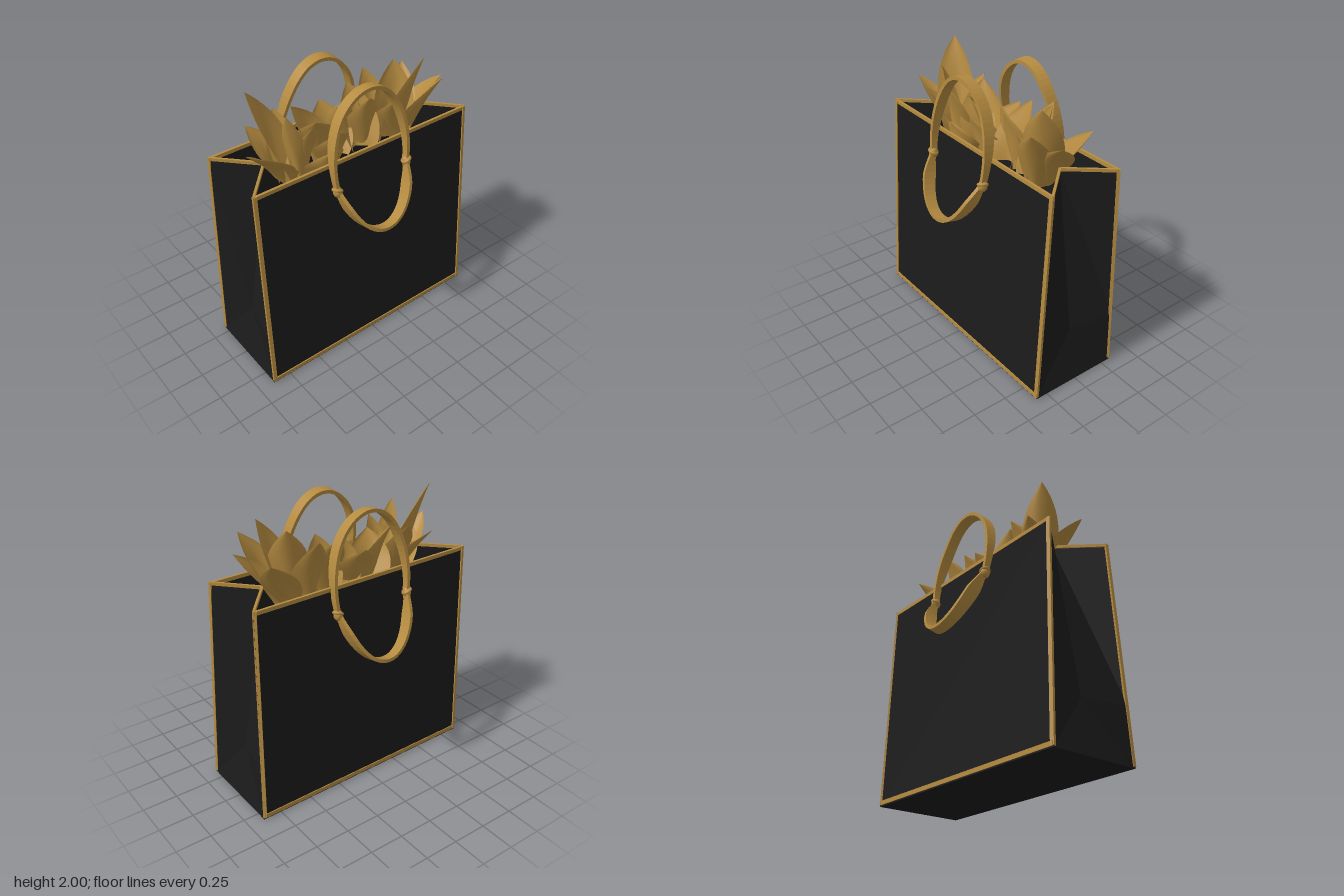
import * as THREE from 'three';

const V = (x, y, z) => new THREE.Vector3(x, y, z);

export function createModel() {
  const black = new THREE.MeshStandardMaterial({ color: 0x1b1b1b, side: THREE.DoubleSide });
  black.name = 'black paper';
  const gold = new THREE.MeshStandardMaterial({ color: 0xb58b40, side: THREE.DoubleSide });
  gold.name = 'gold';

  const group = new THREE.Group();
  const add = (name, geo, mat, parent = group) => {
    const mesh = new THREE.Mesh(geo, mat);
    mesh.name = name;
    parent.add(mesh);
    return mesh;
  };

  // Flat sheet from polygons, each split into a fan of triangles
  const sheet = (...polys) => {
    const pts = [];
    for (const p of polys)
      for (let i = 1; i < p.length - 1; i++) pts.push(p[0], p[i], p[i + 1]);
    const g = new THREE.BufferGeometry().setFromPoints(pts);
    g.computeVertexNormals();
    return g;
  };

  // Square bar between two points
  const bar = (name, a, b, w, d, parent) => {
    const m = add(name, new THREE.BoxGeometry(w, d, a.distanceTo(b) + w * 0.9), gold, parent);
    m.position.copy(a).lerp(b, 0.5);
    m.lookAt(b);
  };

  // Bag corners: front / back, left (-x) / right (+x), bottom / top
  const H = 1.53;
  const f = { lb: V(-0.885, 0, 0.362), rb: V(0.885, 0, 0.338), rt: V(0.862, H, 0.25), lt: V(-0.875, H, 0.265) };
  const k = { lb: V(-0.885, 0, -0.305), rb: V(0.885, 0, -0.325), rt: V(0.862, H, -0.295), lt: V(-0.875, H, -0.27) };

  add('frontPanel', sheet([f.lb, f.rb, f.rt, f.lt]), black);
  add('backPanel', sheet([k.rb, k.lb, k.lt, k.rt]), black);
  add('bottomPanel', sheet([k.lb, k.rb, f.rb, f.lb]), black);

  // Side gussets folded inwards, with a triangular fold at the foot
  for (const s of ['l', 'r']) {
    const sx = s === 'l' ? -1 : 1;
    const mid = V(0.625 * sx, H, -0.01), apex = V(0.81 * sx, 0.39, 0.005);
    const halves = [f, k].map((p) => {
      const edge = p[s + 'b'].clone().lerp(p[s + 't'], 0.26);
      return [[edge, p[s + 't'], mid, apex], [p[s + 'b'], edge, apex]];
    }).flat();
    const faces = [...halves, [f[s + 'b'], k[s + 'b'], apex]];
    // Turn every face outwards
    for (const p of faces) {
      const n = new THREE.Triangle(p[0], p[1], p[2]).getNormal(V(0, 0, 0));
      if (n.x * sx < 0) p.reverse();
    }
    add('sideGusset', sheet(...faces), black);
    for (const p of [f, k]) {
      const corner = p[s + 't'].clone().lerp(mid, 0.03);
      bar('gussetRim', corner, mid, 0.016, 0.022);
    }
  }

  // Gold edging round the front and back panels
  for (const [p, dz, name] of [[f, -0.006, 'frontEdging'], [k, 0.006, 'backEdging']]) {
    const edging = new THREE.Group();
    edging.name = name;
    group.add(edging);
    const inset = (v, dy) => V(v.x - Math.sign(v.x) * 0.011, v.y + dy, v.z + dz);
    const c = [inset(p.lb, 0.024), inset(p.rb, 0.024), inset(p.rt, -0.006), inset(p.lt, -0.006)];
    bar('bottomEdge', c[0], c[1], 0.022, 0.03, edging);
    bar('sideEdge', c[1], c[2], 0.026, 0.022, edging);
    bar('topEdge', c[2], c[3], 0.018, 0.026, edging);
    bar('sideEdge', c[3], c[0], 0.026, 0.022, edging);
  }

  // Handles: a flat ribbon swept round a bent oval
  const smooth = THREE.MathUtils.smoothstep, lerp = THREE.MathUtils.lerp;
  const KNOT = 1.36;
  const depth = (y) => y > KNOT
    ? lerp(0.325, 0.245, smooth(y, KNOT - 0.1, 1.9))
    : lerp(0.325, 0.475, Math.pow((KNOT - y) / 0.33, 0.9));
  const handleGeometry = (drop) => {
    const N = 64, pos = [], idx = [];
    for (let i = 0; i < N; i++) {
      const a = (i / N) * Math.PI * 2;
      const y = 1.505 + 0.47 * Math.sin(a);
      const low = Math.max(0, (KNOT - y) / 0.33);
      const c = V(-0.015 + 0.297 * Math.cos(a), y - drop * low, depth(y));
      const out = V(Math.cos(a) / 0.297, Math.sin(a) / 0.47, 0).normalize();
      const across = y > KNOT ? V(0, 0.1, 1) : V(0, 0.36 - 0.18 * low, 0.93);
      across.normalize();
      const w = 0.022 + (y > KNOT
        ? 0.018 * smooth(y - KNOT, 0, 0.4)
        : 0.028 * smooth(KNOT - y, 0, 0.14) - 0.012 * low * low);
      for (const [u, v] of [[1, 1], [1, -1], [-1, -1], [-1, 1]]) {
        const q = c.clone().addScaledVector(out, u * 0.012).addScaledVector(across, v * w);
        pos.push(q.x, q.y, q.z);
      }
      for (let j = 0; j < 4; j++) {
        const p = i * 4 + j, p2 = i * 4 + (j + 1) % 4;
        const n = ((i + 1) % N) * 4 + j, n2 = ((i + 1) % N) * 4 + (j + 1) % 4;
        idx.push(p, n, p2, p2, n, n2);
      }
    }
    const g = new THREE.BufferGeometry();
    g.setAttribute('position', new THREE.Float32BufferAttribute(pos, 3));
    g.setIndex(idx);
    const flat = g.toNonIndexed();
    flat.computeVertexNormals();
    return flat;
  };
  for (const side of [1, -1]) {
    const handle = new THREE.Group();
    handle.name = side > 0 ? 'frontHandle' : 'backHandle';
    add('strap', handleGeometry(side > 0 ? 0 : 0.025), gold, handle);
    for (const x of [-0.3, 0.272]) {
      const knot = add('knot', new THREE.SphereGeometry(0.034, 14, 10), gold, handle);
      knot.position.set(x, KNOT, 0.322);
      knot.scale.set(0.85, 1.2, 1);
      const wrap = add('knotWrap', new THREE.TorusGeometry(0.027, 0.012, 8, 16), gold, handle);
      wrap.position.set(x, KNOT + 0.012, 0.322);
      wrap.rotation.set(Math.PI / 2 - 0.3, 0.4 * Math.sign(x), 0);
    }
    if (side < 0) {
      handle.rotation.y = Math.PI;
      handle.position.set(-0.03, 0, -0.01);
    }
    group.add(handle);
  }

  // Tissue paper: broad cupped sheets, each facing the way it leans
  const tissue = new THREE.Group();
  tissue.name = 'tissuePaper';
  group.add(tissue);
  const petal = (bx, bz, tx, ty, tz, W) => {
    const g = new THREE.PlaneGeometry(2, 1, 12, 14);
    const p = g.attributes.position, base = 1.36;
    const facing = Math.atan2((tx - bx) * 0.4, tz - bz);
    for (let i = 0; i < p.count; i++) {
      const v = p.getX(i), u = p.getY(i) + 0.5;
      const w = W * (0.55 + u) * (1 - Math.pow(u, 2.2));
      const lean = Math.pow(u, 1.25);
      const off = -0.6 * W * v * v * (1 - u * u) + 0.012 * Math.sin(v * 4 + u * 5) * (1 - u);
      p.setXYZ(i,
        lerp(bx, tx, lean) + Math.cos(facing) * v * w + Math.sin(facing) * off,
        lerp(base, ty, u),
        lerp(bz, tz, lean) - Math.sin(facing) * v * w + Math.cos(facing) * off);
    }
    g.computeVertexNormals();
    add('petal', g, gold, tissue);
  };
  // base x, base z, tip x, y, z, half width
  const leftPetals = [
    [-0.49, -0.04, -0.66, 2.0, -0.12, 0.16],
    [-0.46, -0.05, -0.62, 1.7, -0.22, 0.15],
    [-0.46, -0.04, -0.42, 1.77, -0.2, 0.14],
    [-0.5, 0.03, -0.81, 1.71, 0.1, 0.13],
    [-0.52, 0.03, -0.7, 1.65, 0.11, 0.13],
    [-0.42, 0.06, -0.51, 1.87, 0.09, 0.09],
    [-0.36, 0.05, -0.35, 1.77, 0.15, 0.11],
    [-0.2, -0.06, -0.33, 1.78, -0.13, 0.19],
    [-0.16, -0.04, -0.26, 1.72, 0.05, 0.19],
    [-0.12, 0.06, -0.12, 1.63, 0.13, 0.17],
    [-0.08, -0.08, -0.04, 1.69, -0.22, 0.19],
    [-0.24, 0.17, -0.24, 1.58, 0.21, 0.18],
  ];
  const rightPetals = [
    [0.02, -0.04, 0.01, 1.74, -0.02, 0.13],
    [0.13, -0.02, 0.15, 1.78, -0.17, 0.17],
    [0.17, 0.0, 0.16, 1.76, 0.07, 0.16],
    [0.3, -0.06, 0.32, 1.82, -0.21, 0.15],
    [0.4, -0.01, 0.47, 1.89, -0.07, 0.17],
    [0.4, 0.02, 0.35, 1.7, 0.12, 0.15],
    [0.46, 0.03, 0.58, 1.94, 0.11, 0.17],
    [0.5, 0.01, 0.76, 1.75, 0.1, 0.17],
    [0.47, 0.09, 0.64, 1.83, 0.24, 0.16],
    [0.48, -0.08, 0.68, 1.75, -0.22, 0.15],
  ];
  for (const p of [...leftPetals, ...rightPetals]) petal(...p);

  return group;
}
